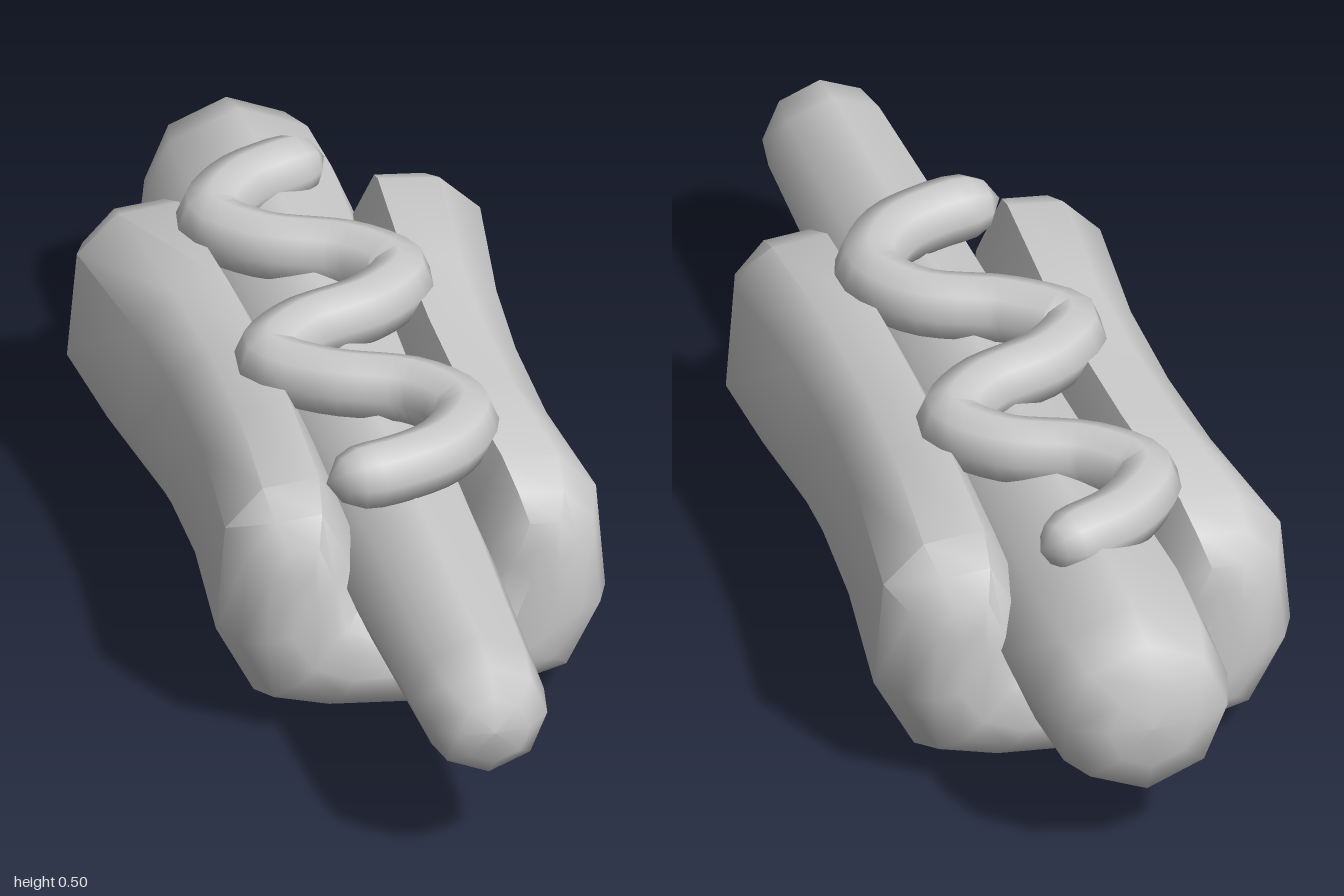
import * as THREE from 'three';
import { mergeVertices, toCreasedNormals } from 'three/addons/utils/BufferGeometryUtils.js';

const material = () => new THREE.MeshStandardMaterial({ color: 0xcccccc });

// Half of the U-shaped bun section: [x, y, core x, core y]; end rings shrink to the core
const HALF = [
  [0, 0, 0, 0.1], [0.18, 0.015, 0.13, 0.11], [0.292, 0.04, 0.2, 0.14],
  [0.362, 0.17, 0.24, 0.2], [0.345, 0.36, 0.24, 0.28], [0.275, 0.427, 0.235, 0.31],
  [0.17, 0.437, 0.21, 0.31], [0.11, 0.33, 0.2, 0.26], [0.1, 0.22, 0.17, 0.18], [0, 0.16, 0, 0.1],
];
// Bun rings from front to back: [z, shrink, width scale, lift]
const RINGS = [
  [0.495, 0.95, 0.93, 0], [0.485, 0.6, 0.93, 0], [0.45, 0.25, 0.93, 0.004], [0.38, 0, 0.92, 0.01],
  [0.12, 0, 0.85, 0.015], [-0.1, 0, 0.85, 0.015], [-0.3, 0, 0.89, 0.01],
  [-0.58, 0, 1, 0], [-0.65, 0.25, 1, 0], [-0.688, 0.6, 1, 0], [-0.698, 0.95, 1, 0],
];

function bunGeometry() {
  const mirrored = HALF.slice(1, -1).reverse().map(([x, y, cx, cy]) => [-x, y, -cx, cy]);
  const loop = [...HALF, ...mirrored];
  const n = loop.length;
  const positions = [], index = [];
  for (const [z, t, w, lift] of RINGS) {
    for (const [x, y, cx, cy] of loop) {
      const py = y + (cy - y) * t;
      positions.push((x + (cx - x) * t) * w, py + lift * Math.max(0, 1 - py / 0.1), z);
    }
  }
  const id = (r, j) => r * n + (j + n) % n;
  const quad = (a, b, c, d) => index.push(a, b, c, a, c, d);
  const last = RINGS.length - 1;
  for (let r = 0; r < last; r++) {
    for (let j = 0; j < n; j++) quad(id(r, j), id(r + 1, j), id(r + 1, j + 1), id(r, j + 1));
  }
  // End faces bridge the outer side of the U to its inner side
  for (let j = -4; j < 4; j++) {
    quad(id(0, j), id(0, j + 1), id(0, 8 - j), id(0, 9 - j));
    quad(id(last, 9 - j), id(last, 8 - j), id(last, j + 1), id(last, j));
  }
  const geometry = new THREE.BufferGeometry();
  geometry.setAttribute('position', new THREE.Float32BufferAttribute(positions, 3));
  geometry.setIndex(index);
  return toCreasedNormals(geometry, 0.8);
}

function sausageGeometry() {
  const profile = [
    [0, -1], [0.075, -0.995], [0.14, -0.96], [0.167, -0.87], [0.175, -0.72], [0.16, -0.4],
    [0.14, 0.1], [0.13, 0.45], [0.113, 0.87], [0.1, 0.95], [0.06, 0.992], [0, 1],
  ].map(([r, z]) => new THREE.Vector2(r, z));
  return new THREE.LatheGeometry(profile, 8).rotateX(Math.PI / 2).translate(0, 0.267, 0);
}

function sauceGeometry() {
  const path = [
    [-0.15, 0.405], [-0.03, 0.385], [0.07, 0.335], [0.125, 0.235], [0.07, 0.135], [-0.07, 0.065],
    [-0.15, -0.02], [-0.08, -0.105], [0.06, -0.165], [0.13, -0.25], [0.07, -0.34],
    [-0.07, -0.41], [-0.135, -0.5], [-0.07, -0.6], [0.03, -0.65], [0.1, -0.675],
  ];
  const curve = new THREE.CatmullRomCurve3(path.map(([x, z]) => new THREE.Vector3(x, 0.437, z)));
  const segments = 64, sides = 8;
  const tube = new THREE.TubeGeometry(curve, segments, 0.058, sides);
  // Close both ends by drawing the outer rings in to the path
  const taper = [0, 0.72, 0.95];
  const p = tube.attributes.position, v = new THREE.Vector3();
  for (let i = 0; i <= segments; i++) {
    const scale = taper[Math.min(i, segments - i)] ?? 1;
    const centre = curve.getPointAt(i / segments);
    for (let j = 0; j <= sides; j++) {
      const k = i * (sides + 1) + j;
      v.fromBufferAttribute(p, k).sub(centre).multiplyScalar(scale).add(centre);
      p.setXYZ(k, v.x, v.y, v.z);
    }
  }
  tube.deleteAttribute('uv');
  tube.deleteAttribute('normal');
  const smooth = mergeVertices(tube, 1e-4);
  smooth.computeVertexNormals();
  return smooth;
}

export function createModel() {
  const group = new THREE.Group();
  group.name = 'hotDog';
  const parts = { bun: bunGeometry(), sausage: sausageGeometry(), sauce: sauceGeometry() };
  for (const [name, geometry] of Object.entries(parts)) {
    const mesh = new THREE.Mesh(geometry, material());
    mesh.name = name;
    group.add(mesh);
  }
  return group;
}
